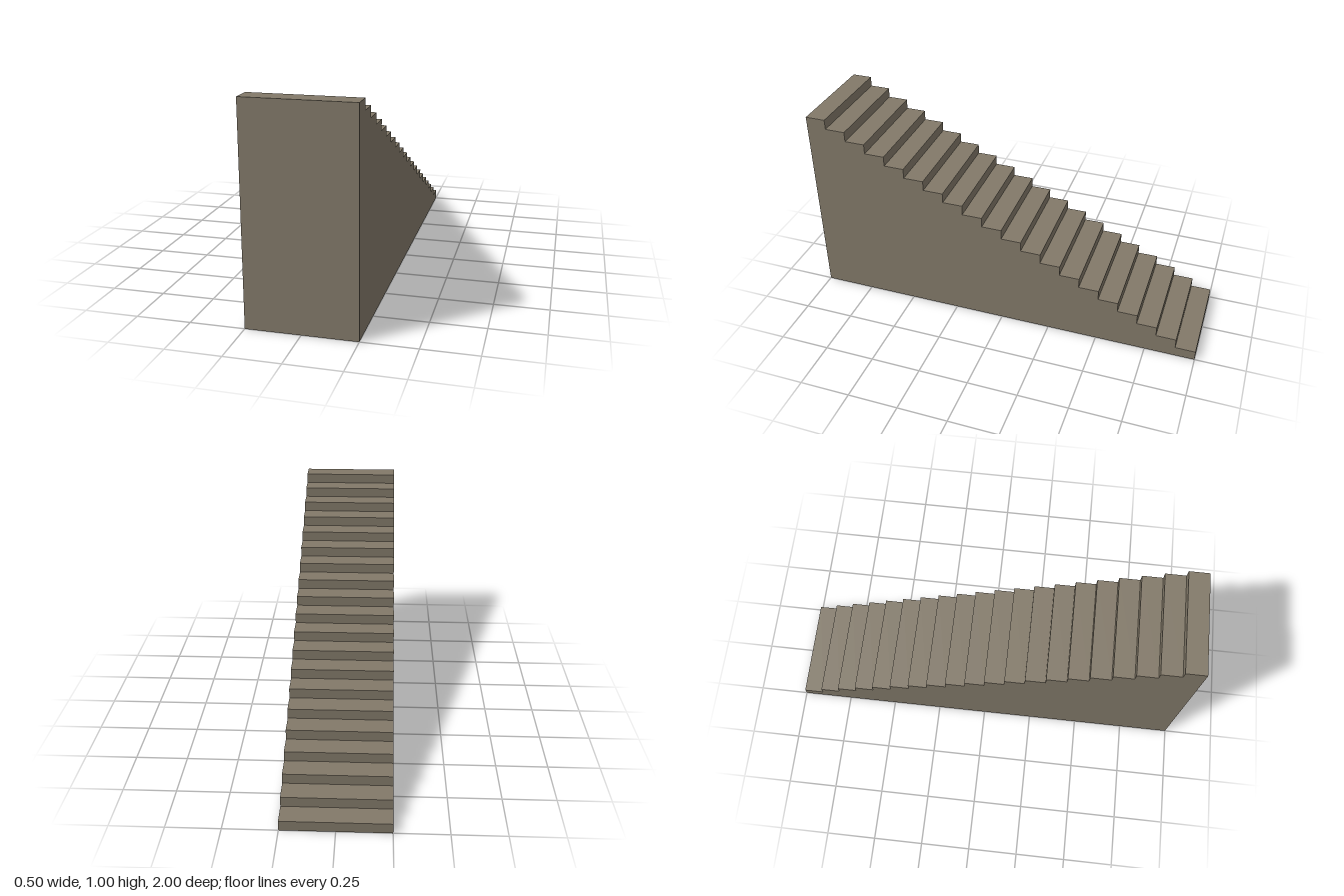
import * as THREE from 'three';

const STEPS = 20, WIDTH = 0.5, HEIGHT = 1, LENGTH = 2;
const RISE = HEIGHT / STEPS, RUN = LENGTH / STEPS;

export function createModel() {
  const model = new THREE.Group();
  model.name = 'staircase';
  const stone = new THREE.MeshStandardMaterial({ color: 0x827969, side: THREE.DoubleSide });
  stone.name = 'stone';

  const add = (name, geometry, x, y, z, parent = model) => {
    const mesh = new THREE.Mesh(geometry, stone);
    mesh.name = name;
    mesh.position.set(x, y, z);
    parent.add(mesh);
  };

  // Stepped side walls: the outline's x runs along -z, from the foot to the top
  const outline = new THREE.Shape();
  outline.moveTo(LENGTH / 2, 0);
  for (let i = 0; i < STEPS; i++) {
    const foot = LENGTH / 2 - i * RUN;
    outline.lineTo(foot, (i + 1) * RISE);
    outline.lineTo(foot - RUN, (i + 1) * RISE);
  }
  outline.lineTo(-LENGTH / 2, 0);
  const wall = new THREE.ShapeGeometry(outline).rotateY(Math.PI / 2);
  add('leftWall', wall, WIDTH / 2, 0, 0);
  add('rightWall', wall, -WIDTH / 2, 0, 0);

  // Tall end wall below the top step; the underside stays open
  add('endWall', new THREE.PlaneGeometry(WIDTH, HEIGHT), 0, HEIGHT / 2, LENGTH / 2);

  // Thin treads and risers, climbing from back to front
  const tread = new THREE.PlaneGeometry(WIDTH, RUN).rotateX(-Math.PI / 2);
  const riser = new THREE.PlaneGeometry(WIDTH, RISE).rotateY(Math.PI);
  for (let i = 0; i < STEPS; i++) {
    const step = new THREE.Group();
    step.name = `step${i + 1}`;
    step.position.set(0, i * RISE, -LENGTH / 2 + i * RUN);
    add('riser', riser, 0, RISE / 2, 0, step);
    add('tread', tread, 0, RISE, RUN / 2, step);
    model.add(step);
  }
  return model;
}
